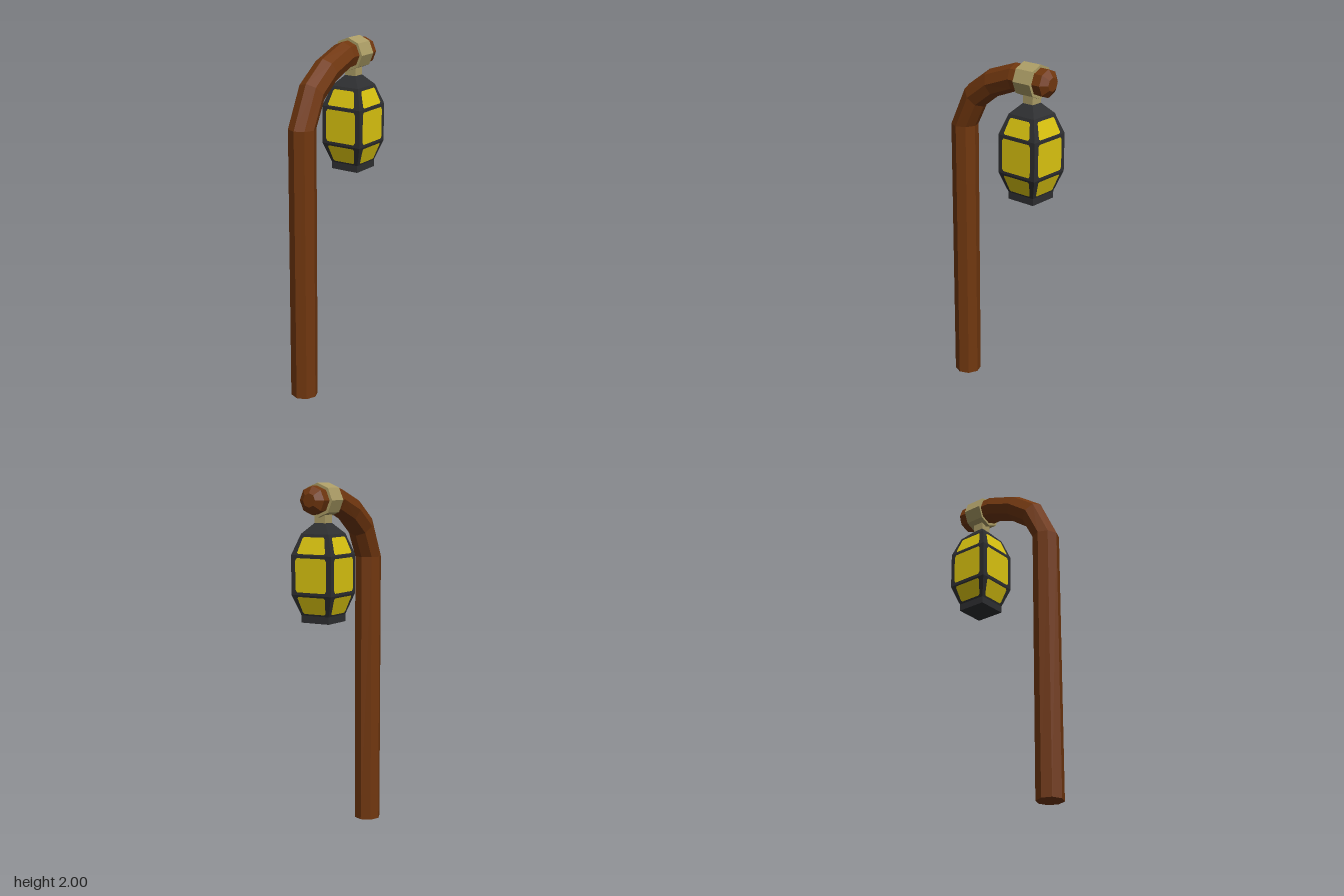
import * as THREE from 'three';

const mat = (name, color) => {
  const m = new THREE.MeshStandardMaterial({ color, flatShading: true });
  m.name = name;
  return m;
};

// Polygon ring at (y, z); tilt 0 lies flat, tilt 90 faces along -z
function ring(y, z, r, tilt = 0, n = 8, turn = 0) {
  const a = THREE.MathUtils.degToRad(tilt);
  return Array.from({ length: n }, (_, i) => {
    const t = (i / n) * Math.PI * 2 + turn;
    const u = r * Math.cos(t);
    return [r * Math.sin(t), y + u * Math.sin(a), z + u * Math.cos(a)];
  });
}

function fromTriangles(points) {
  const g = new THREE.BufferGeometry();
  g.setAttribute('position', new THREE.Float32BufferAttribute(points.flat(), 3));
  g.computeVertexNormals();
  return g;
}

const fan = (p) => p.slice(2).flatMap((c, i) => [p[0], p[i + 1], c]);

// Closed faceted solid through a list of rings
function loft(rings) {
  const tris = [];
  for (let k = 0; k + 1 < rings.length; k++) {
    const a = rings[k], b = rings[k + 1], n = a.length;
    for (let i = 0; i < n; i++) {
      const j = (i + 1) % n;
      tris.push(a[i], a[j], b[j], a[i], b[j], b[i]);
    }
  }
  tris.push(...fan([...rings[0]].reverse()), ...fan(rings[rings.length - 1]));
  return fromTriangles(tris);
}

// Trapezoid pane with clipped corners, facing +z
function pane(y0, w0, z0, y1, w1, z1) {
  const at = (s, v) => [
    s * THREE.MathUtils.lerp(w0, w1, v),
    THREE.MathUtils.lerp(y0, y1, v),
    THREE.MathUtils.lerp(z0, z1, v),
  ];
  return fromTriangles(fan([
    at(-0.9, 0), at(0.9, 0), at(1, 0.08), at(1, 0.92),
    at(0.9, 1), at(-0.9, 1), at(-1, 0.92), at(-1, 0.08),
  ]));
}

export function createModel() {
  const model = new THREE.Group();
  model.name = 'lampPost';
  const wood = mat('brown wood', 0x71370f);
  const brass = mat('pale brass', 0xac9d66);
  const iron = mat('dark iron', 0x2e2f31);
  const glass = mat('yellow glass', 0xdcc510);
  const add = (parent, name, geometry, material) => {
    const mesh = new THREE.Mesh(geometry, material);
    mesh.name = name;
    parent.add(mesh);
    return mesh;
  };

  // Octagonal post bending over into the arm
  const R = 0.077;
  add(model, 'postAndArm', loft([
    ring(0, 0.277, R),
    ring(1.573, 0.277, R),
    ring(1.753, 0.188, R, 46),
    ring(1.848, 0.058, R, 68),
    ring(1.908, -0.105, R, 87),
    ring(1.908, -0.323, R, 90),
    ring(1.908, -0.353, 0.038, 90),
  ]), wood);

  // Collar around the arm and the short hanger below
  add(model, 'collar', loft([
    ring(1.908, -0.155, 0.093, 90),
    ring(1.908, -0.27, 0.093, 90),
  ]), brass);
  const hanger = add(model, 'hanger', new THREE.BoxGeometry(0.068, 0.06, 0.068), brass);
  hanger.position.set(0, 1.812, -0.212);

  // Square lantern: [height, half width], bottom to top
  const lantern = new THREE.Group();
  lantern.name = 'lantern';
  lantern.position.z = -0.212;
  model.add(lantern);
  const profile = [
    [1.245, 0.087], [1.285, 0.087], [1.4, 0.126], [1.615, 0.126],
    [1.728, 0.087], [1.785, 0.034],
  ];
  add(lantern, 'lanternFrame', loft(profile.map(
    ([y, h]) => ring(y, 0, h * Math.SQRT2, 0, 4, Math.PI / 4))), iron);

  // Three glass panes on each of the four sides
  const panes = [
    ['lowerPane', 1.295, 0.07, 0.093, 1.39, 0.09, 0.126],
    ['middlePane', 1.415, 0.098, 0.129, 1.6, 0.098, 0.129],
    ['upperPane', 1.622, 0.09, 0.127, 1.712, 0.068, 0.096],
  ];
  for (const [name, ...size] of panes) {
    const geometry = pane(...size);
    for (let k = 0; k < 4; k++) {
      add(lantern, name, geometry, glass).rotation.y = (k * Math.PI) / 2;
    }
  }
  return model;
}
